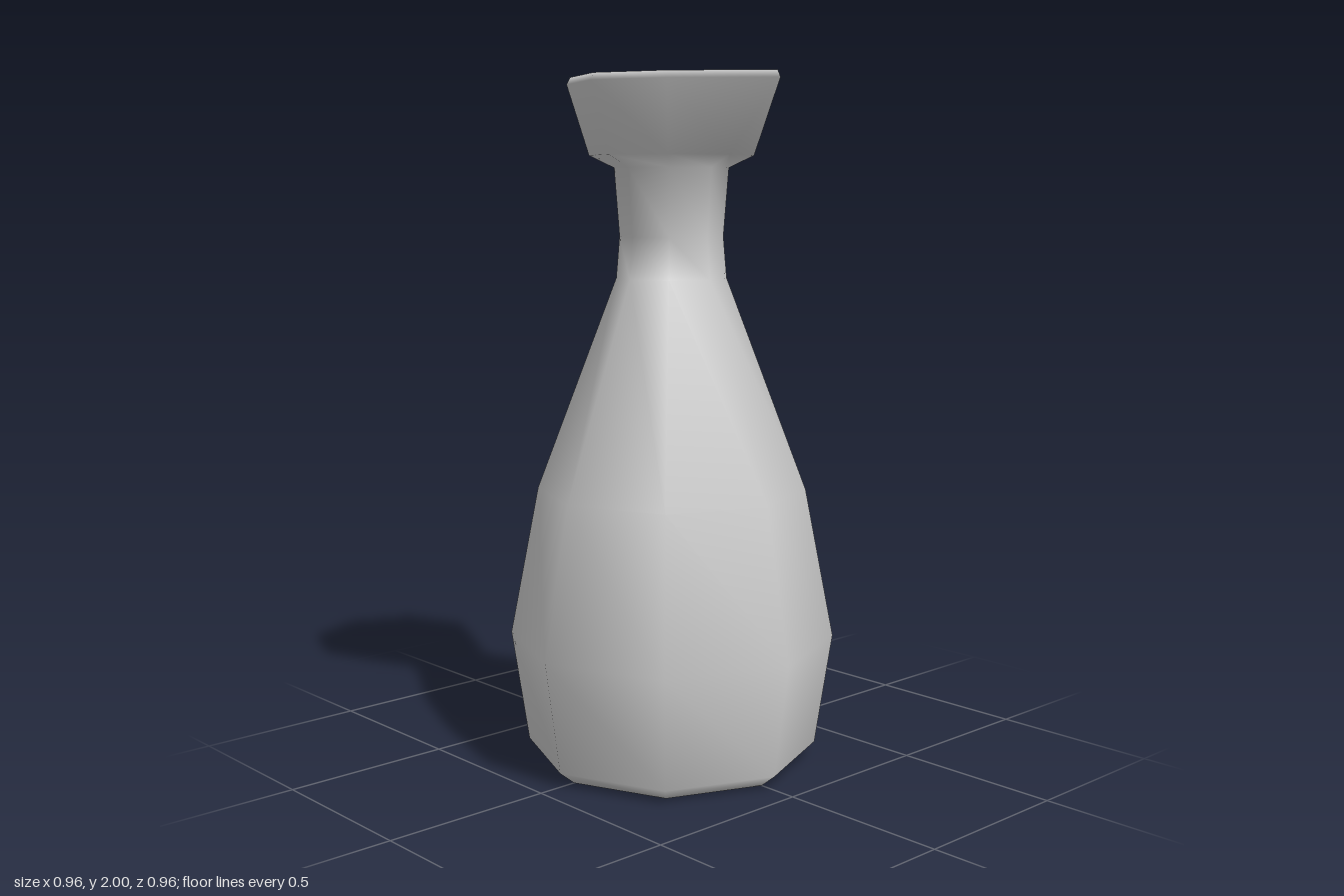
import * as THREE from 'three';
import { mergeVertices } from 'three/addons/utils/BufferGeometryUtils.js';

// Radius and height, from the centre of the base to the centre of the closed mouth
const PROFILE = [
  [0, 0], [0.38, 0], [0.43, 0.04], // base with bevel
  [0.48, 0.37], [0.395, 0.81], // belly and shoulder
  [0.16, 1.43], [0.15, 1.55], [0.165, 1.745], // neck
  [0.237, 1.78], [0.3, 1.98], [0.29, 2], [0, 2], // flared mouth with bevel
];

export function createModel() {
  const group = new THREE.Group();
  group.name = 'carafe';

  // Eight-sided turned body
  const lathe = new THREE.LatheGeometry(PROFILE.map(([r, y]) => new THREE.Vector2(r, y)), 8);

  // Pull the rim corner on the +x side out into a pouring spout
  const pos = lathe.attributes.position;
  for (let i = 0; i < pos.count; i++) {
    if (pos.getY(i) > 1.9 && pos.getX(i) > 0.25) pos.setX(i, pos.getX(i) + 0.128);
  }

  // Weld the seam and poles, then smooth with area-weighted normals
  lathe.deleteAttribute('uv');
  lathe.deleteAttribute('normal');
  const geometry = mergeVertices(lathe, 1e-4);
  geometry.computeVertexNormals();

  const body = new THREE.Mesh(geometry, new THREE.MeshStandardMaterial({ color: 0xcccccc }));
  body.name = 'bodyWithSpout';
  group.add(body);
  return group;
}
